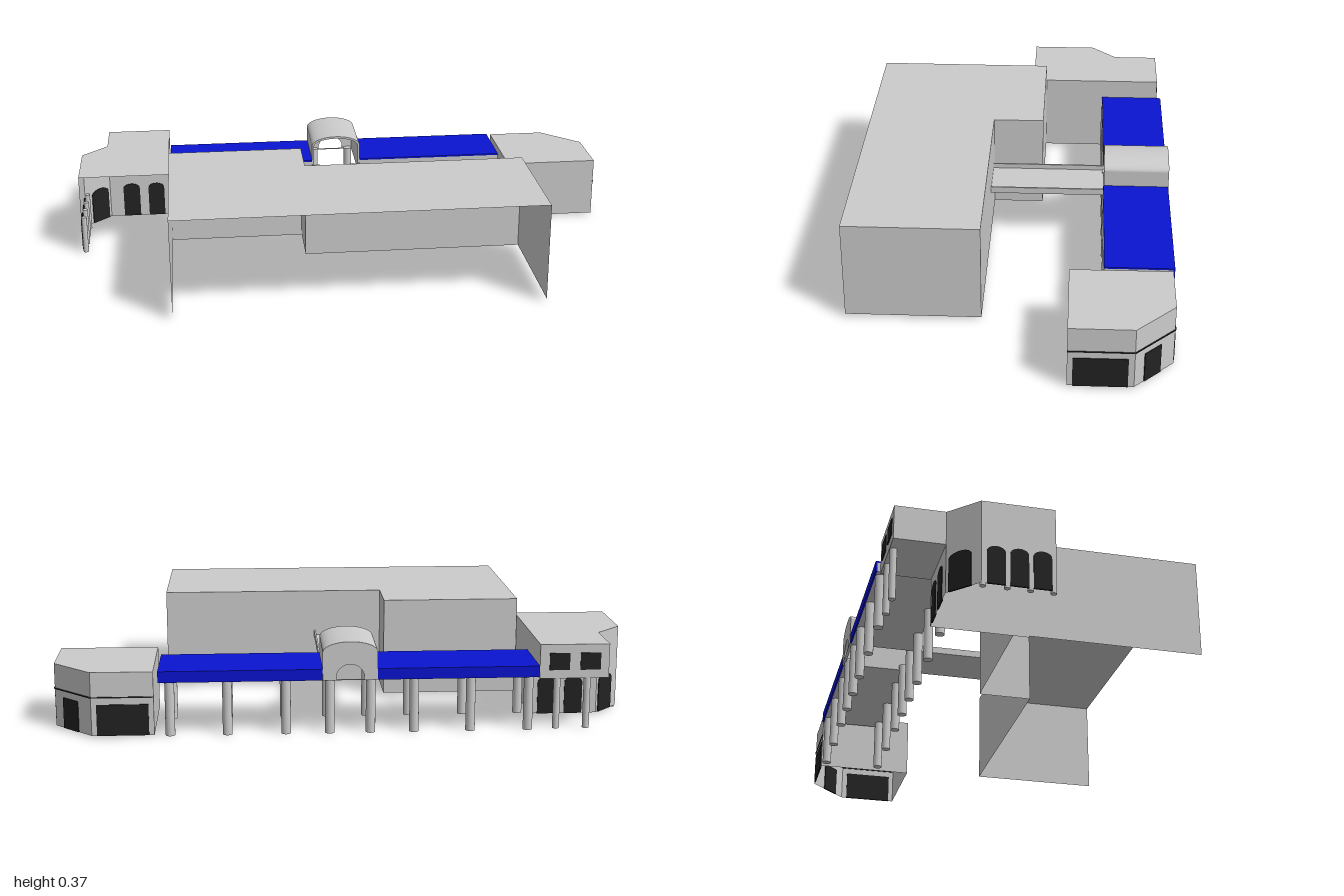
import * as THREE from 'three';

const grey = new THREE.MeshStandardMaterial({ color: 0xcccccc, side: THREE.DoubleSide });
const dark = new THREE.MeshStandardMaterial({ color: 0x222222, side: THREE.DoubleSide });
const blue = new THREE.MeshStandardMaterial({ color: 0x0a14d0, side: THREE.DoubleSide });

function add(parent, name, geometry, material = grey) {
  const mesh = new THREE.Mesh(geometry, material);
  mesh.name = name;
  parent.add(mesh);
  return mesh;
}

// Box given by its lower and upper corners
function block(parent, name, [x0, y0, z0], [x1, y1, z1], material) {
  const g = new THREE.BoxGeometry(x1 - x0, y1 - y0, z1 - z0);
  g.translate((x0 + x1) / 2, (y0 + y1) / 2, (z0 + z1) / 2);
  return add(parent, name, g, material);
}

// Upright sheet from plan point a to b; openings are dark panels [start, width, y0, y1, arched]
function wall(parent, name, a, b, y0, y1, openings = []) {
  const dx = b[0] - a[0], dz = b[1] - a[1], len = Math.hypot(dx, dz);
  const group = new THREE.Group();
  group.name = name;
  group.position.set(a[0], 0, a[1]);
  group.rotation.y = Math.atan2(-dz, dx);
  add(group, name + 'Sheet', new THREE.PlaneGeometry(len, y1 - y0).translate(len / 2, (y0 + y1) / 2, 0));
  for (const [s, w, b0, b1, arched] of openings) {
    const rise = arched ? 0.02 : 0;
    const shape = new THREE.Shape();
    shape.moveTo(s, b0);
    shape.lineTo(s + w, b0);
    shape.lineTo(s + w, b1 - rise);
    if (arched) shape.absellipse(s + w / 2, b1 - rise, w / 2, rise, 0, Math.PI);
    else shape.lineTo(s, b1);
    const g = new THREE.ExtrudeGeometry(shape, { depth: 0.006, bevelEnabled: false, curveSegments: 8 });
    add(group, arched ? 'archedOpening' : 'windowPanel', g.translate(0, 0, -0.003), dark);
  }
  parent.add(group);
}

// Flat roof sheet from a plan outline of [x, z] points
function roof(parent, name, outline, y) {
  const shape = new THREE.Shape(outline.map(([x, z]) => new THREE.Vector2(x, -z)));
  add(parent, name, new THREE.ShapeGeometry(shape).rotateX(-Math.PI / 2).translate(0, y, 0));
}

function column(parent, name, x, z, r, h) {
  add(parent, name, new THREE.CylinderGeometry(r, r, h, 16).translate(x, h / 2, z));
}

function part(parent, name) {
  const group = new THREE.Group();
  group.name = name;
  parent.add(group);
  return group;
}

// Arched outline used by the gate vault
function archOutline(path, x0, x1, base, spring, top) {
  path.moveTo(x0, base);
  path.lineTo(x1, base);
  path.lineTo(x1, spring);
  path.absellipse((x0 + x1) / 2, spring, (x1 - x0) / 2, top - spring, 0, Math.PI);
  path.lineTo(x0, base);
  return path;
}

export function createModel() {
  const model = new THREE.Group();
  model.name = 'buildingComplex';

  // Main hall: stepped plan, open along its front
  const hall = part(model, 'mainHall');
  const plan = [[-0.665, 0.565], [-0.665, -0.095], [-0.17, -0.095], [-0.17, 0.092], [0.638, 0.092], [0.638, 0.565]];
  roof(hall, 'hallRoof', plan, 0.365);
  for (let i = 0; i < 5; i++) wall(hall, 'hallWall', plan[i], plan[i + 1], 0.012, 0.365);

  // Covered walkways: blue top and rear fascia over a grey slab
  const walk = part(model, 'walkway');
  for (const [x0, x1] of [[-0.663, -0.108], [0.08, 0.638]]) {
    block(walk, 'walkwaySlab', [x0, 0.19, -0.558], [x1, 0.223, -0.325]);
    block(walk, 'walkwayRoof', [x0, 0.223, -0.564], [x1, 0.229, -0.325], blue);
    block(walk, 'walkwayFascia', [x0, 0.19, -0.564], [x1, 0.223, -0.558], blue);
  }
  for (const x of [-0.63, -0.43, -0.235, -0.085, 0.055, 0.205, 0.405, 0.6])
    for (const z of [-0.338, -0.543]) column(walk, 'walkwayColumn', x, z, 0.0165, 0.2);

  // Vaulted gate between the walkways
  const gate = part(model, 'gate');
  const shell = new THREE.Shape();
  shell.moveTo(-0.108, 0.19);
  shell.lineTo(-0.1, 0.19);
  shell.lineTo(-0.1, 0.286);
  shell.absellipse(-0.014, 0.286, 0.086, 0.03, Math.PI, 0, true);
  shell.lineTo(0.072, 0.19);
  shell.lineTo(0.08, 0.19);
  shell.lineTo(0.08, 0.288);
  shell.absellipse(-0.014, 0.288, 0.094, 0.036, 0, Math.PI);
  add(gate, 'gateVault', new THREE.ExtrudeGeometry(shell, { depth: 0.235, bevelEnabled: false, curveSegments: 24 })
    .translate(0, 0, -0.562));
  const face = archOutline(new THREE.Shape(), -0.108, 0.08, 0.19, 0.288, 0.324);
  face.holes.push(archOutline(new THREE.Path(), -0.062, 0.034, 0.191, 0.2, 0.245));
  add(gate, 'gateFace', new THREE.ExtrudeGeometry(face, { depth: 0.01, bevelEnabled: false, curveSegments: 24 })
    .translate(0, 0, -0.565));

  // Bridge with low parapets from hall to gate
  const bridge = part(model, 'bridge');
  block(bridge, 'bridgeDeck', [-0.108, 0.188, -0.328], [0.08, 0.194, 0.092]);
  for (const x of [-0.108, 0.074]) block(bridge, 'bridgeParapet', [x, 0.194, -0.328], [x + 0.006, 0.212, 0.092]);

  // Left-hand plan side wing (-x): open front, rear porch under the upper floor
  const west = part(model, 'arcadeWing');
  const wp = [[-0.667, -0.042], [-1, -0.042], [-1, -0.285], [-0.907, -0.378], [-0.907, -0.548], [-0.667, -0.548]];
  roof(west, 'wingRoof', wp, 0.3);
  const arches = [0.015, 0.09, 0.165].map(s => [s, 0.06, 0.006, 0.14, true]);
  wall(west, 'arcadeWall', wp[1], wp[2], 0.006, 0.3, arches);
  wall(west, 'chamferWall', wp[2], wp[3], 0.006, 0.3, [[0.036, 0.084, 0.006, 0.14, true]]);
  wall(west, 'upperSideWall', wp[3], wp[4], 0.18, 0.3);
  wall(west, 'upperRearWall', wp[4], wp[5], 0.18, 0.3, [[0.03, 0.07, 0.21, 0.27], [0.137, 0.07, 0.21, 0.27]]);
  wall(west, 'porchWall', wp[3], [-0.667, -0.378], 0.006, 0.18,
    [[0.052, 0.064, 0.006, 0.14, true], [0.15, 0.062, 0.006, 0.14, true]]);
  wall(west, 'innerLowerWall', [-0.667, -0.378], wp[0], 0.006, 0.3);
  wall(west, 'innerUpperWall', wp[5], [-0.667, -0.378], 0.18, 0.3);
  roof(west, 'porchCeiling', [wp[3], wp[4], wp[5], [-0.667, -0.378]], 0.18);
  for (const x of [-0.73, -0.835]) column(west, 'porchColumn', x, -0.535, 0.012, 0.18);
  for (const z of [-0.05, -0.125, -0.2, -0.278]) column(west, 'arcadeColumn', -0.99, z, 0.01, 0.14);

  // Right-hand plan side wing (+x): low block with wide windows
  const east = part(model, 'shopWing');
  const ep = [[0.655, -0.207], [1, -0.207], [1, -0.425], [0.865, -0.558], [0.653, -0.558]];
  const windows = [[], [[0.018, 0.18, 0.006, 0.115]], [[0.045, 0.078, 0.006, 0.115]], [[0.018, 0.176, 0.006, 0.115]], []];
  roof(east, 'shopRoof', ep, 0.228);
  ep.forEach((p, i) => {
    const q = ep[(i + 1) % ep.length];
    wall(east, 'shopWall', p, q, 0.006, 0.228, windows[i]);
    // Dark joint line above the windows
    if (windows[i].length) wall(east, 'jointLine', p, q, 0.138, 0.142, [[0, Math.hypot(q[0] - p[0], q[1] - p[1]), 0.138, 0.142]]);
  });

  return model;
}
